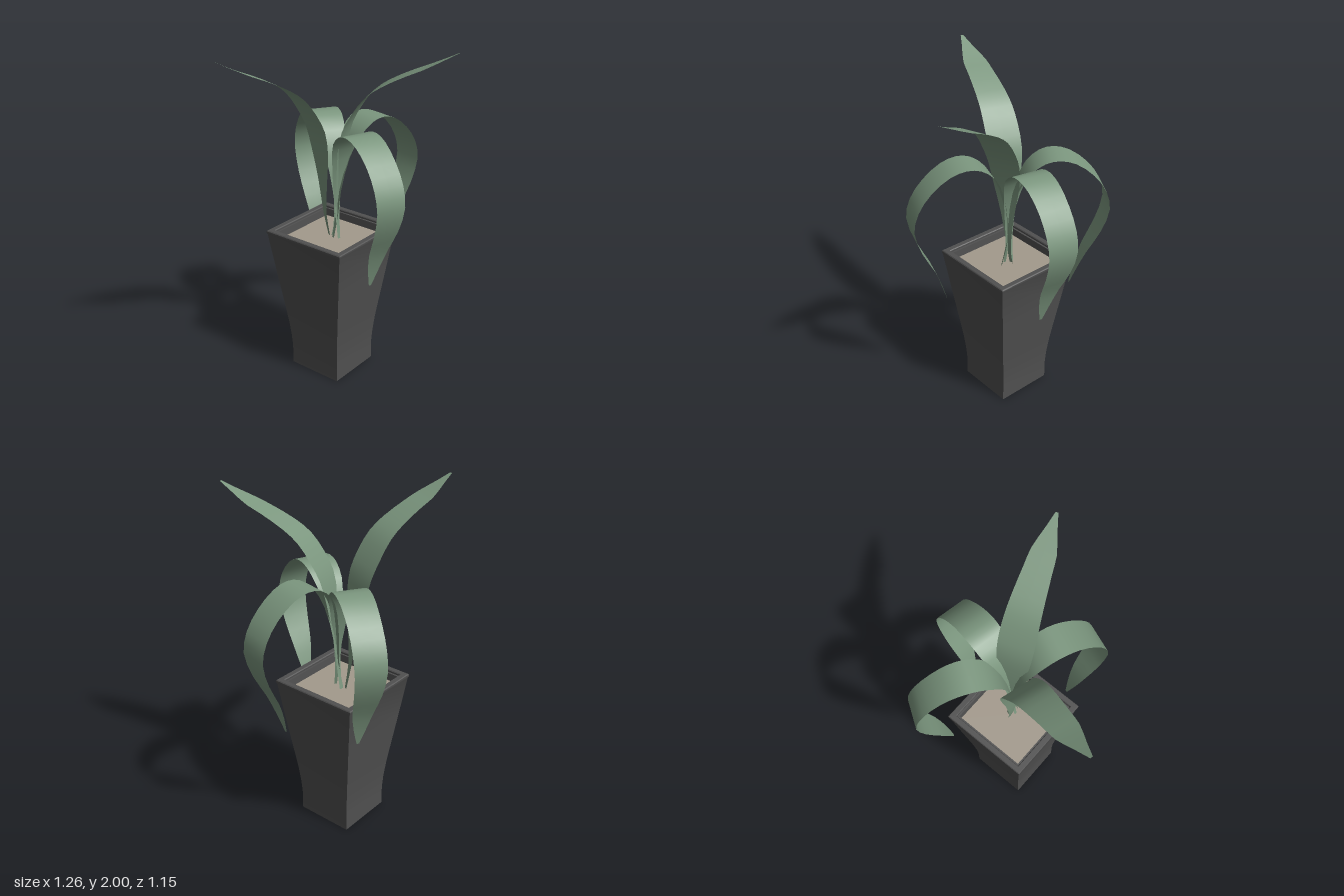
import * as THREE from 'three';
import { toCreasedNormals } from 'three/addons/utils/BufferGeometryUtils.js';

const POT_X = 0.037, POT_Z = -0.073;

const mat = (color) => new THREE.MeshStandardMaterial({ color, side: THREE.DoubleSide });

// Square lathe: profile of [half side, y], outside going up
function squareLathe(profile) {
  const pts = profile.map(([h, y]) => new THREE.Vector2(h * Math.SQRT2, y));
  const geo = new THREE.LatheGeometry(pts, 4);
  geo.rotateY(Math.PI / 4);
  return toCreasedNormals(geo, 0.5);
}

// Leaf ribbon: spine points of [radial distance, height, width]
function leafGeometry(spine, rows = 22) {
  const curve = new THREE.CatmullRomCurve3(spine.map((p) => new THREE.Vector3(...p)));
  const geo = new THREE.PlaneGeometry(1, 1, 2, rows);
  const pos = geo.attributes.position;
  for (let i = 0; i < pos.count; i++) {
    const p = curve.getPoint(0.5 - pos.getY(i));
    pos.setXYZ(i, p.x, p.y, pos.getX(i) * p.z);
  }
  geo.computeVertexNormals();
  return geo;
}

const uprightSpine = [
  [-0.03, 0.85, 0.015], [0, 1.0, 0.03], [0.015, 1.2, 0.085], [0.035, 1.4, 0.165],
  [0.065, 1.535, 0.195], [0.12, 1.64, 0.2], [0.19, 1.735, 0.19], [0.275, 1.8, 0.175],
  [0.41, 1.87, 0.15], [0.49, 1.905, 0.135], [0.6, 1.96, 0.06], [0.67, 1.997, 0.015],
];

const droopingSpine = [
  [-0.03, 0.85, 0.015], [0, 1.0, 0.025], [0.012, 1.15, 0.05], [0.05, 1.35, 0.11],
  [0.11, 1.475, 0.165], [0.19, 1.54, 0.185], [0.27, 1.555, 0.19], [0.36, 1.53, 0.185],
  [0.465, 1.45, 0.18], [0.54, 1.345, 0.18], [0.567, 1.23, 0.175], [0.525, 1.08, 0.155],
  [0.455, 0.94, 0.12], [0.41, 0.82, 0.075], [0.375, 0.7, 0.015],
];

export function createModel() {
  const model = new THREE.Group();
  model.name = 'pottedPlant';

  // Tapered square pot with a stepped rim and hollow top
  const pot = new THREE.Mesh(squareLathe([
    [0, 0], [0.173, 0], [0.173, 0.12], [0.178, 0.2], [0.188, 0.3], [0.201, 0.4],
    [0.232, 0.63], [0.266, 0.89], [0.27, 0.898], [0.27, 0.91], [0.266, 0.915],
    [0.238, 0.915], [0.234, 0.91], [0.234, 0.9], [0.223, 0.9], [0.218, 0.83],
  ]), mat(0x505050));
  pot.name = 'pot';
  pot.position.set(POT_X, 0, POT_Z);
  model.add(pot);

  // Soil surface inside the pot
  const soil = new THREE.Mesh(new THREE.BoxGeometry(0.442, 0.02, 0.442), mat(0xa39a8c));
  soil.name = 'soil';
  soil.position.set(POT_X, 0.845, POT_Z);
  model.add(soil);

  // Leaves: root position and horizontal heading of each
  const leafMat = mat(0x7c977f);
  const upright = leafGeometry(uprightSpine);
  const drooping = leafGeometry(droopingSpine, 28);
  const leaves = [
    ['uprightLeafRight', upright, 0.02, -0.11, -0.96, -0.275],
    ['uprightLeafFront', upright, 0.064, -0.06, 0.333, 0.943],
    ['droopingLeafFront', drooping, 0.06, -0.06, -0.357, 0.934],
    ['droopingLeafLeft', drooping, 0.06, -0.055, 0.981, 0.19],
    ['droopingLeafBack', drooping, 0.06, -0.05, 0.54, -0.84],
  ];
  for (const [name, geo, x, z, dx, dz] of leaves) {
    const leaf = new THREE.Mesh(geo, leafMat);
    leaf.name = name;
    leaf.position.set(x, 0, z);
    leaf.rotation.y = Math.atan2(-dz, dx);
    model.add(leaf);
  }

  return model;
}
